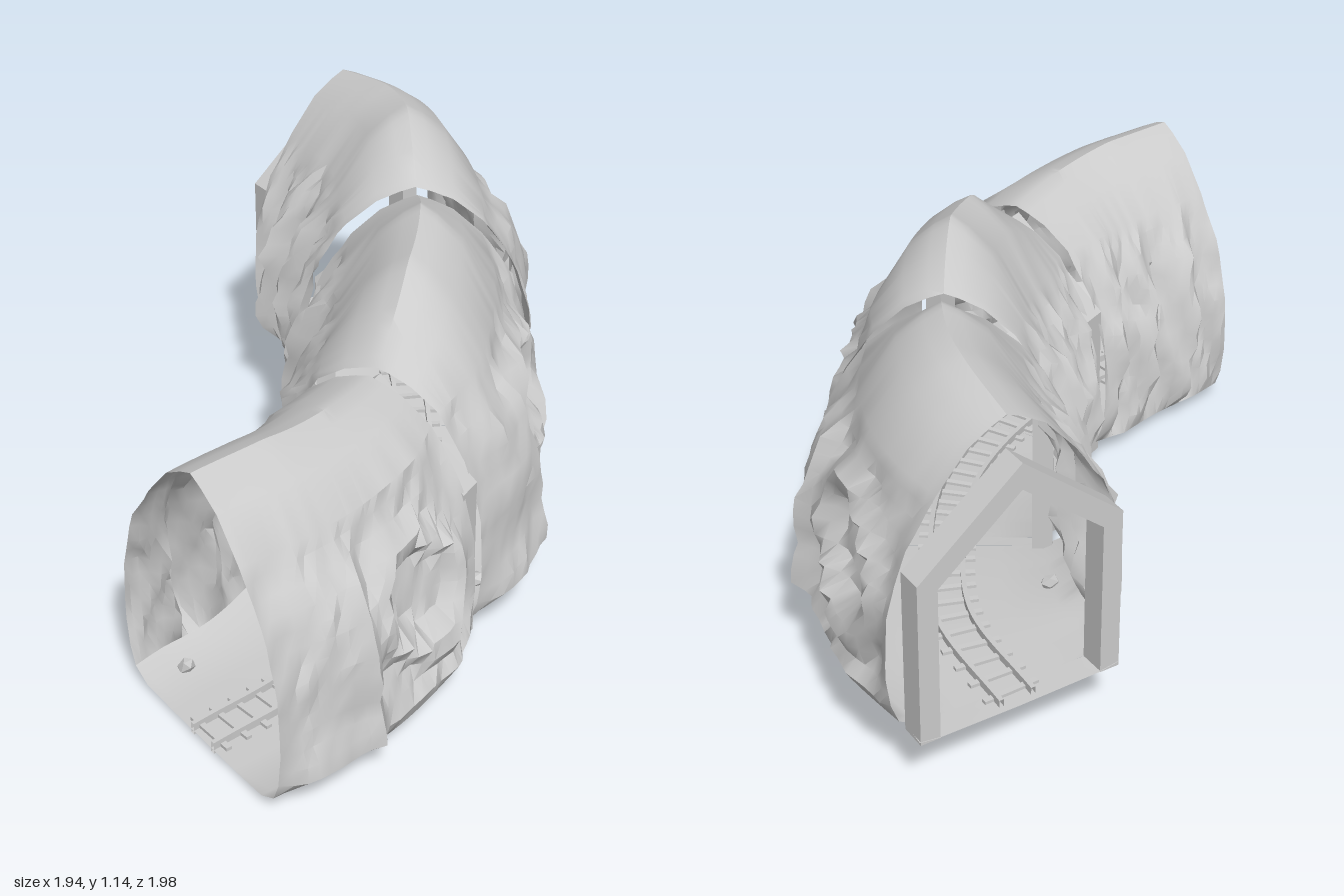
import * as THREE from 'three';
import { toCreasedNormals } from 'three/addons/utils/BufferGeometryUtils.js';

const mat = new THREE.MeshStandardMaterial({ color: 0xcccccc, side: THREE.DoubleSide });
const lerp = THREE.MathUtils.lerp, clamp = THREE.MathUtils.clamp;

// Floor centre line: a rising quarter turn, one knot every half section
const path = new THREE.CatmullRomCurve3([
  [-0.98, 0.02, 0.57], [-0.6, 0.022, 0.52], [-0.26, 0.05, 0.38], [0.085, 0.098, 0.122],
  [0.335, 0.168, -0.21], [0.535, 0.204, -0.58], [0.58, 0.215, -1.0],
].map(p => new THREE.Vector3(...p)));
const headings = [[0, 0], [1, 14], [2, 24], [3, 42], [4, 56], [5, 74], [5.8, 90]];

// Piecewise linear lookup in [x, y] pairs
function along(pairs, x) {
  for (let i = 1; i < pairs.length; i++) {
    const [a, ya] = pairs[i - 1], [b, yb] = pairs[i];
    if (x <= b) return lerp(ya, yb, clamp((x - a) / (b - a), 0, 1));
  }
  return pairs[pairs.length - 1][1];
}

function station(k) {
  const a = THREE.MathUtils.degToRad(along(headings, k));
  return {
    pos: path.getPoint(clamp(k / 6, 0, 1)),
    yaw: Math.PI / 2 + a,
    out: new THREE.Vector3(Math.sin(a), 0, Math.cos(a)),
  };
}

// Point at distance d outward from the centre line and height h above the floor
function place(k, d, h) {
  const s = station(k);
  return s.pos.addScaledVector(s.out, d).add(new THREE.Vector3(0, h, 0));
}

function rand(seed) {
  const v = Math.sin(seed * 127.1 + 11.7) * 43758.5453;
  return v - Math.floor(v);
}

// Sweep rings of [d, h] points along the line from k0 to k1
function sweep(name, k0, k1, N, ringAt, crease) {
  const verts = [], index = [];
  let M = 0;
  for (let i = 0; i <= N; i++) {
    const ring = ringAt(i / N, i);
    M = ring.length;
    for (const [d, h] of ring) verts.push(...place(lerp(k0, k1, i / N), d, h).toArray());
  }
  for (let i = 0; i < N; i++) for (let j = 0; j < M - 1; j++) {
    const a = i * M + j, b = a + M;
    index.push(a, b, b + 1, a, b + 1, a + 1);
  }
  const g = new THREE.BufferGeometry();
  g.setAttribute('position', new THREE.Float32BufferAttribute(verts, 3));
  g.setIndex(index);
  const mesh = new THREE.Mesh(toCreasedNormals(g, crease), mat);
  mesh.name = name;
  return mesh;
}

// Outer wall: plain pillar, then a recess holding a faceted hollow with a raised rim
function outerRock(s, h) {
  const ledge = along([[0, 0.005], [0.1, 0.035], [0.2, -0.015]], h);
  const pillar = along([[0, 0], [0.3, 0.01], [0.36, 0.035], [0.4, -0.05], [0.9, -0.04], [1, 0]], s);
  const x = (s - 0.66) * 0.8, y = h - 0.38;
  const r = Math.max(Math.abs(x), Math.abs(y), (Math.abs(x + 0.3 * y) + Math.abs(y)) * 0.74);
  const hollow = along([[0, -0.05], [0.11, -0.03], [0.16, 0.055], [0.19, 0.045], [0.24, 0]], r);
  const f = s * 3 + h * 1.5, ridge = Math.abs(f - Math.round(f)) * 0.04 - 0.01;
  const fade = along([[0.02, 0], [0.12, 1], [0.56, 1], [0.67, 0]], h);
  return (pillar + hollow + ridge) * fade + ledge;
}

// Inner wall: leaning, upright shards of different depth
function innerRock(s, h, id) {
  const f = s * 3.4 + h * 0.9 + id * 0.3, n = Math.floor(f), u = f - n;
  const shard = (u < 0.3 ? u / 0.3 : (1 - u) / 0.7) * (0.08 + 0.05 * rand(n + 3 + id));
  const g = s * 5 - h * 2.5, cross = Math.abs(g - Math.round(g)) * 0.06;
  const fade = along([[0, 0.2], [0.15, 0.9], [0.5, 0.9], [0.68, 0]], h);
  return (shard + cross - 0.1) * fade;
}

function shellRing(s, crest, ends, i, id) {
  const rows = 13;
  const wide = along([[0, ends[0]], [0.2, 1], [0.8, 1], [1, ends[1]]], s);
  const end = along([[0, 0], [0.06, 1], [0.94, 1], [1, 0]], s);
  const wall = [[0.09, 0.385], [0.2, 0.4], [0.38, 0.39], [0.55, 0.335], [0.66, 0.255]];
  // Half floor, then wall rows, then half vault; side +1 is the outside of the bend
  const half = side => {
    const pts = [[0.16, 0], [0.3, 0.005], [0.36, 0.035]];
    for (let j = 0; j < rows; j++) {
      const h = lerp(0.09, 0.66, j / (rows - 1));
      const noise = (rand(id * 7 + i * 31 + j * 3 + side) - 0.5) * 0.014;
      const rock = side > 0 ? outerRock(s, h) : innerRock(s, h, id);
      pts.push([along(wall, h) + (rock + noise) * end, h + noise]);
    }
    pts.push([0.225, 0.7], [0.125, lerp(0.7, crest, 0.63)], [0.05, lerp(0.7, crest, 0.88)]);
    return pts.map(([d, h]) => [side * d * wide, h]);
  };
  return [[0, 0], ...half(1), [0, crest], ...half(-1).reverse(), [0, 0]];
}

function tunnelSection(id, k0, k1, ends, crests) {
  const ringAt = (s, i) => shellRing(s, along(crests, s), ends, i, id);
  return sweep('tunnelSection' + (id + 1), k0, k1, 26, ringAt, 0.65);
}

// Gabled timber support: two posts and two rafters, open at the floor
function supportFrame(k, n) {
  const s = new THREE.Shape([
    [-0.31, 0], [-0.25, 0], [-0.25, 0.48], [0, 0.69], [0.25, 0.48], [0.25, 0],
    [0.31, 0], [0.31, 0.51], [0, 0.77], [-0.31, 0.51],
  ].map(p => new THREE.Vector2(...p)));
  const g = new THREE.ExtrudeGeometry(s, { depth: 0.08, bevelEnabled: false });
  g.translate(0, 0, -0.04);
  const mesh = new THREE.Mesh(g, mat), st = station(k);
  mesh.position.copy(st.pos);
  mesh.rotation.y = st.yaw;
  mesh.name = 'supportFrame' + n;
  return mesh;
}

// Rail: a small square bar
function rail(d, name) {
  const bar = [[-0.007, -0.012], [0.007, -0.012], [0.007, 0.024], [-0.007, 0.024], [-0.007, -0.012]];
  return sweep(name, 0, 5.95, 60, () => bar.map(([x, y]) => [d + x, y]), 0.5);
}

export function createModel() {
  const model = new THREE.Group();
  model.name = 'mineTunnel';

  // Rock shell in three lengths, each with its own end widths and vault heights
  model.add(tunnelSection(0, 0, 1.92, [0.96, 0.87], [[0, 0.87], [0.33, 0.87], [0.66, 0.84], [1, 0.8]]));
  model.add(tunnelSection(1, 2.06, 3.92, [0.85, 0.89], [[0, 0.79], [0.33, 0.96], [0.66, 0.98], [1, 0.83]]));
  model.add(tunnelSection(2, 4.06, 5.81, [0.94, 0.92], [[0, 0.82], [0.33, 0.95], [0.66, 0.92], [1, 0.87]]));

  // Short floor pieces joining the sections under the supports
  [[1.92, 2.06], [3.92, 4.06], [5.81, 6]].forEach(([a, b], i) => {
    const strip = [[-0.31, 0.012], [-0.25, 0.003], [0, 0], [0.25, 0.003], [0.31, 0.012]];
    model.add(sweep('floorJoint' + (i + 1), a, b, 2, () => strip, 0.6));
  });

  [1.99, 4, 5.9].forEach((k, i) => model.add(supportFrame(k, i + 1)));

  // Track
  const track = new THREE.Group();
  track.name = 'track';
  track.add(rail(-0.05, 'innerRail'), rail(0.05, 'outerRail'));
  const sleeperShape = new THREE.BoxGeometry(0.17, 0.02, 0.018);
  for (let i = 0; i < 34; i++) {
    const st = station(0.08 + i * 0.175);
    const sleeper = new THREE.Mesh(sleeperShape, mat);
    sleeper.name = 'sleeper';
    sleeper.position.copy(st.pos);
    sleeper.rotation.y = st.yaw + (rand(i) - 0.5) * 0.1;
    track.add(sleeper);
  }
  model.add(track);

  // Loose stones along the wall feet
  const stones = new THREE.Group();
  stones.name = 'looseStones';
  const stoneMat = mat.clone();
  stoneMat.flatShading = true;
  for (let i = 0; i < 18; i++) {
    const stone = new THREE.Mesh(new THREE.IcosahedronGeometry(0.018 + 0.014 * rand(i), 0), stoneMat);
    stone.name = 'stone';
    const side = i % 5 === 0 ? -1 : 1;
    stone.position.copy(place(0.4 + i * 0.29, side * (0.24 + 0.1 * rand(i + 40)), 0.015));
    stone.rotation.set(rand(i + 1) * 3, rand(i + 2) * 3, 0);
    stone.scale.set(1.3, 0.8, 1);
    stones.add(stone);
  }
  model.add(stones);
  return model;
}
